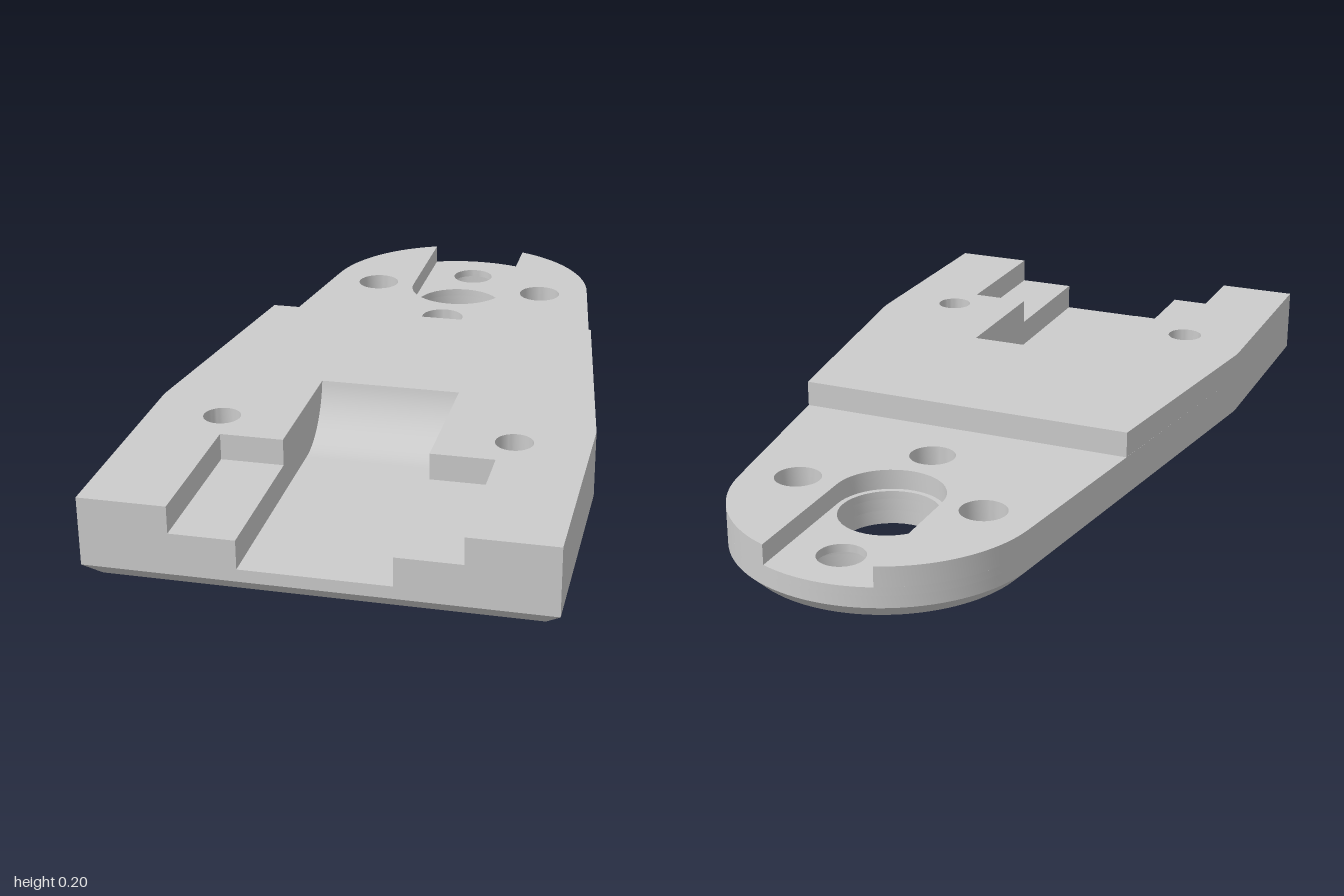
import * as THREE from 'three';
import { toCreasedNormals } from 'three/addons/utils/BufferGeometryUtils.js';

// Plan coordinates are (x, s) with s = -z; heights run along y.
const V = (x, s) => new THREE.Vector2(x, s);
const HUB = 0.625, HUB_R = 0.375, CHAMFER = 0.035;
const TANGENT = THREE.MathUtils.degToRad(8.15);

function arc(cx, cs, r, a0, a1, n) {
  return Array.from({ length: n + 1 }, (_, i) => {
    const a = a0 + (a1 - a0) * i / n;
    return V(cx + r * Math.cos(a), cs + r * Math.sin(a));
  });
}
const circle = (x, s, r) => arc(x, s, r, 0, Math.PI * 2, 40).slice(0, -1);
const mirror = (pts) => pts.map((p) => V(-p.x, p.y)).reverse();

// Moves a closed counter-clockwise contour inwards
function inset(pts, d) {
  const normal = (a, b) => V(a.y - b.y, b.x - a.x).normalize();
  return pts.map((p, i) => {
    const n1 = normal(pts[(i + pts.length - 1) % pts.length], p);
    const n2 = normal(p, pts[(i + 1) % pts.length]);
    return n1.clone().add(n2).multiplyScalar(d / (1 + n1.dot(n2))).add(p);
  });
}

function slab(outline, holes, y0, y1) {
  const shape = new THREE.Shape(outline);
  shape.holes = holes.map((h) => new THREE.Path(h));
  const g = new THREE.ExtrudeGeometry(shape, { depth: y1 - y0, bevelEnabled: false });
  return g.rotateX(-Math.PI / 2).translate(0, y0, 0);
}

export function createModel() {
  const group = new THREE.Group();
  const material = new THREE.MeshStandardMaterial({ color: 0xcccccc });
  const add = (name, geometry) => {
    const mesh = new THREE.Mesh(toCreasedNormals(geometry, 0.45), material);
    mesh.name = name;
    group.add(mesh);
  };

  // Outline: straight front, tapering sides, rounded hub end
  const rightSide = [V(0.53, -1), V(0.53, -0.43)];
  const tail = arc(0, HUB, HUB_R, TANGENT, Math.PI - TANGENT, 48);
  const outline = [...rightSide, ...tail, ...mirror(rightSide)];

  // Front notches: central channel, and channel with stepped shoulders
  const channelHalf = [V(0.173, -0.27), V(0.173, -1)];
  const pocketHalf = [V(0.173, -0.27), V(0.173, -0.625), V(0.325, -0.625), V(0.325, -1)];
  const channel = [...mirror(channelHalf), ...channelHalf];
  const pocket = [...mirror(pocketHalf), ...pocketHalf];

  // Screw holes, with wider counterbores below
  const hubSpots = [[0.24, HUB], [-0.24, HUB], [0, HUB - 0.24], [0, HUB + 0.24]];
  const frontSpots = [[0.352, -0.525], [-0.352, -0.525]];
  const bore = circle(0, HUB, 0.122);
  const hubHoles = hubSpots.map(([x, s]) => circle(x, s, 0.057));
  const frontHoles = frontSpots.map(([x, s]) => circle(x, s, 0.045));
  const frontBores = frontSpots.map(([x, s]) => circle(x, s, 0.085));
  // Hub counterbores stay within the bottom face
  const hubBores = hubSpots.map(([x, s]) => circle(x, s, 0.107).map((p) => {
    const centre = V(0, HUB);
    return p.sub(centre).clampLength(0, 0.338).add(centre);
  }));

  // Chamfered bottom: inset contour flared out to the full outline
  const small = inset(outline, CHAMFER);
  const base = slab(small, [bore, ...hubBores, ...frontBores], 0, CHAMFER);
  const pos = base.attributes.position;
  for (let i = 0; i < pos.count; i++) {
    if (pos.getY(i) < CHAMFER / 2) continue;
    const p = V(pos.getX(i), -pos.getZ(i));
    const k = small.findIndex((q) => q.distanceTo(p) < 1e-5);
    if (k >= 0) pos.setXYZ(i, outline[k].x, CHAMFER, -outline[k].y);
  }
  add('chamferedBottom', base);

  // Plate up to the channel floor
  add('lowerPlate', slab(outline, [bore, ...hubBores, ...frontBores], CHAMFER, 0.065));

  // Plate up to the hub slot floor
  add('channelPlate', slab([...outline, ...channel],
    [bore, ...hubHoles, ...frontBores], 0.065, 0.085));

  // Plate with the hub slot opening at the back
  const slotAngle = Math.acos(0.135 / HUB_R);
  const rightTail = arc(0, HUB, HUB_R, TANGENT, slotAngle, 20);
  const slotted = [...rightSide, ...rightTail, ...arc(0, HUB, 0.135, 0, -Math.PI, 28),
    ...mirror(rightTail), ...mirror(rightSide), ...channel];
  add('slottedPlate', slab(slotted,
    [...hubHoles.slice(0, 3), ...frontBores], 0.085, 0.135));

  // Raised front block, ending in a step before the hub
  const block = [...rightSide, V(0.438, 0.21), V(-0.438, 0.21), ...mirror(rightSide), ...pocket];
  add('raisedBlock', slab(block, frontHoles, 0.135, 0.2));

  // Curved run-out at the inner end of the channel
  const R = 0.16, end = Math.PI + Math.asin((R - 0.135) / R);
  const profile = [V(-0.27, 0.065), V(-0.27, 0.2),
    ...arc(-0.43, 0.065 + R, R, 2 * Math.PI - (end - Math.PI), 1.5 * Math.PI, 20)];
  const runOut = new THREE.ExtrudeGeometry(new THREE.Shape(profile),
    { depth: 0.346, bevelEnabled: false });
  add('channelRunOut', runOut.rotateY(Math.PI / 2).translate(-0.173, 0, 0));

  return group;
}
